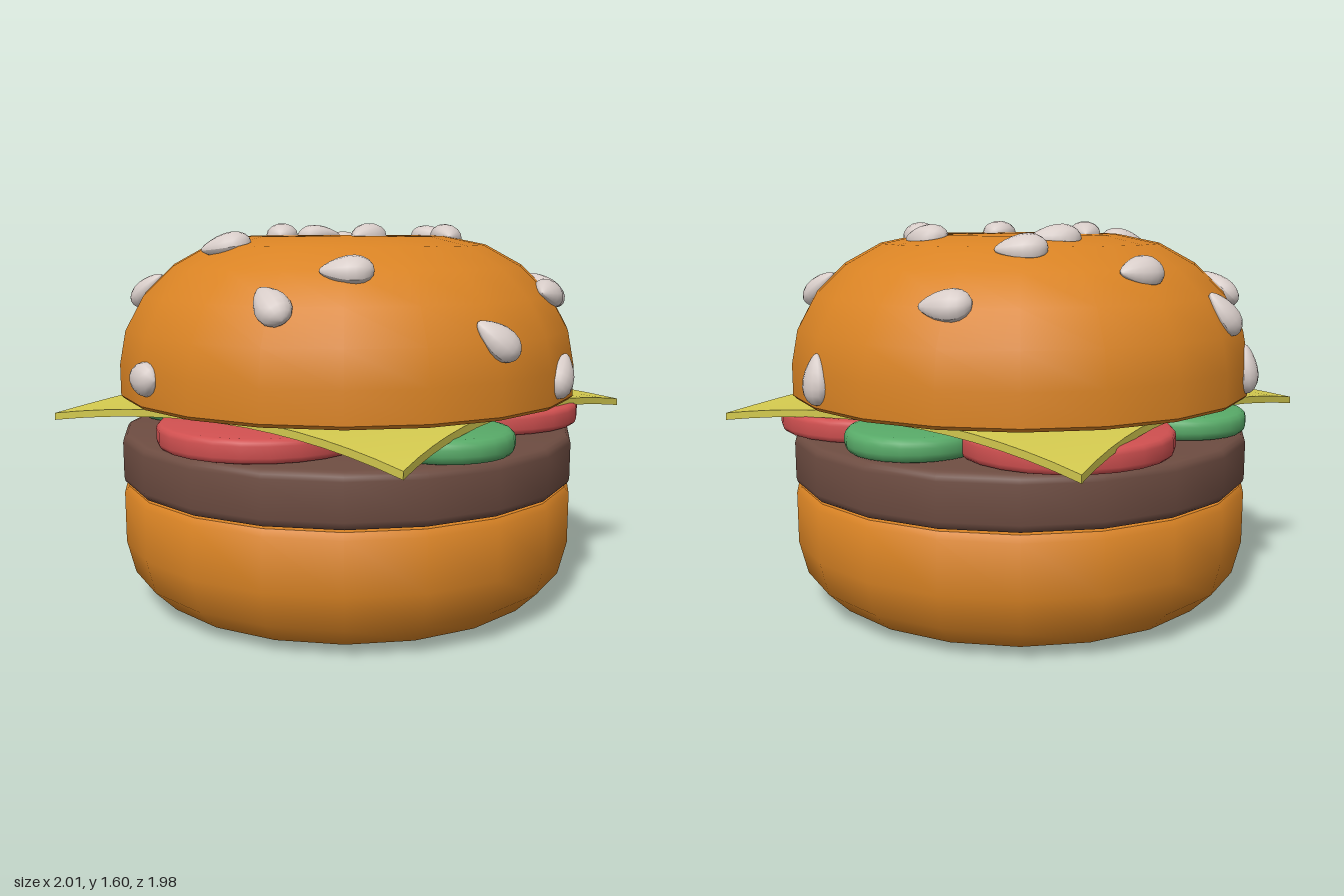
import * as THREE from 'three';
import { toCreasedNormals } from 'three/addons/utils/BufferGeometryUtils.js';

const paint = (name, color) => {
  const m = new THREE.MeshStandardMaterial({ color });
  m.name = name;
  return m;
};

// Closed lathe from [radius, height] pairs, bottom to top
function turned(profile, sides) {
  const points = profile.map(([r, y]) => new THREE.Vector2(r, y));
  return toCreasedNormals(new THREE.LatheGeometry(points, sides), 0.75);
}

// Disc with rounded rims
function disc(radius, bottom, top, round, sides) {
  const profile = [[0, bottom]];
  for (const end of [0, 1]) {
    for (let i = 0; i <= 3; i++) {
      const a = (i / 3) * Math.PI / 2 + (end - 1) * Math.PI / 2;
      const y = end ? top - round : bottom + round;
      profile.push([radius - round + round * Math.cos(a), y + round * Math.sin(a)]);
    }
  }
  profile.push([0, top]);
  return turned(profile, sides);
}

const TOP_BUN = [
  [0, 0.885], [0.97, 0.885], [0.985, 0.9], [0.985, 1.03], [0.958, 1.17],
  [0.88, 1.31], [0.755, 1.43], [0.6, 1.515], [0.42, 1.552], [0, 1.556],
];
const BOTTOM_BUN = [
  [0, 0], [0.7, 0.002], [0.86, 0.04], [0.95, 0.13], [0.985, 0.27],
  [0.985, 0.485], [0.965, 0.51], [0, 0.51],
];

// Seeds: x, z, then the direction of the pointed end
const SEEDS = [
  [-0.27, -0.83, 1, 0, -0.45], [-0.36, -0.49, 1, 0, -0.9], [-0.36, -0.26, 0.8, 0, -1],
  [-0.725, -0.23, 0.3, 0, -1], [-0.905, 0.12, 0.5, 1, -0.6], [-0.695, 0.52, 1, 1, 0],
  [-0.225, 0.165, -0.7, 0, -1], [-0.18, 0.57, -1, 0, 0.9], [0.19, 0.12, 0.15, 0, 1],
  [0.155, -0.44, 1, 0, 0], [0.345, -0.26, 0.8, 0, 1], [0.7, -0.51, -1, 1, -0.1],
  [0.825, -0.27, 0.2, 0, 1], [0.905, 0.29, -0.4, 0.6, 0.5], [0.445, 0.6, -1, 0, 0.8],
  [0.275, 0.83, -0.8, 1, 0], [0.975, -0.13, 0, 0.8, -0.7], [-0.3, 0.94, -1, 0, 0],
  [-0.94, 0.3, 0, 1, 0], [0.295, -0.94, 0, 1, 0.1],
];

// Teardrop, pointed towards +y and flattened along z
function seedGeometry() {
  const g = new THREE.SphereGeometry(1, 14, 10);
  const p = g.attributes.position;
  for (let i = 0; i < p.count; i++) {
    const y = p.getY(i);
    const w = 1 - 0.33 * y - 0.1 * y * y;
    p.setXYZ(i, p.getX(i) * w * 0.066, y * 0.102, p.getZ(i) * w * 0.05);
  }
  g.computeVertexNormals();
  return g;
}

// Height and normal of the top bun at a distance from its axis
function crown(r) {
  if (r > 0.955) return { r: 0.975, y: 1.01, nr: 1, ny: 0.05 };
  for (let i = 4; i < TOP_BUN.length - 1; i++) {
    const [r0, y0] = TOP_BUN[i], [r1, y1] = TOP_BUN[i + 1];
    if (r >= r1) {
      return { r, y: y0 + (y1 - y0) * (r - r0) / (r1 - r0), nr: y1 - y0, ny: r0 - r1 };
    }
  }
}

// Thin square slice with pinched sides and drooping corners
function cheeseGeometry() {
  const g = new THREE.BoxGeometry(2, 0.03, 2, 14, 1, 14);
  const p = g.attributes.position;
  for (let i = 0; i < p.count; i++) {
    const u = p.getX(i), v = p.getZ(i);
    p.setXYZ(i, u * (0.8 + 0.095 * v * v),
      p.getY(i) + 0.86 - 0.07 * u * u * v * v,
      v * (0.8 + 0.095 * u * u));
  }
  return toCreasedNormals(g, 0.7);
}

export function createModel() {
  const bun = paint('toasted bun', 0xd98324);
  const meat = paint('patty brown', 0x6d4c41);
  const yellow = paint('cheese yellow', 0xd4ca4f);
  const red = paint('tomato red', 0xd05050);
  const green = paint('pickle green', 0x58aa68);
  const cream = paint('seed cream', 0xd7ccc8);

  const model = new THREE.Group();
  model.name = 'burger';
  const add = (name, geometry, material, x = 0, z = 0) => {
    const mesh = new THREE.Mesh(geometry, material);
    mesh.name = name;
    mesh.position.set(x, 0, z);
    model.add(mesh);
    return mesh;
  };

  // Stacked layers
  add('bottomBun', turned(BOTTOM_BUN, 20), bun);
  add('patty', disc(0.985, 0.515, 0.735, 0.035, 20), meat);
  add('cheese', cheeseGeometry(), yellow);
  add('topBun', turned(TOP_BUN, 20), bun);

  // Vegetable slices
  const tomato = disc(0.425, 0.735, 0.83, 0.025, 24);
  for (const [x, z] of [[0, 0.565], [0.445, -0.42], [-0.485, -0.37]]) add('tomatoSlice', tomato, red, x, z);
  const pickle = disc(0.275, 0.735, 0.83, 0.035, 24);
  for (const [x, z] of [[0.675, 0.28], [-0.66, 0.25], [0, -0.695]]) add('pickleSlice', pickle, green, x, z);

  // Sesame seeds lying on the crown
  const seed = seedGeometry();
  for (const [x, z, dx, dy, dz] of SEEDS) {
    const dist = Math.hypot(x, z);
    const { r, y, nr, ny } = crown(dist);
    const normal = new THREE.Vector3(nr * x / dist, ny, nr * z / dist).normalize();
    const tip = new THREE.Vector3(dx, dy, dz).projectOnPlane(normal).normalize();
    const side = new THREE.Vector3().crossVectors(tip, normal);
    const mesh = add('seed', seed, cream);
    mesh.quaternion.setFromRotationMatrix(new THREE.Matrix4().makeBasis(side, tip, normal));
    mesh.position.set(r * x / dist, y, r * z / dist);
  }

  // Stack sits slightly off the centre line
  for (const part of model.children) part.position.x -= 0.015;
  return model;
}
